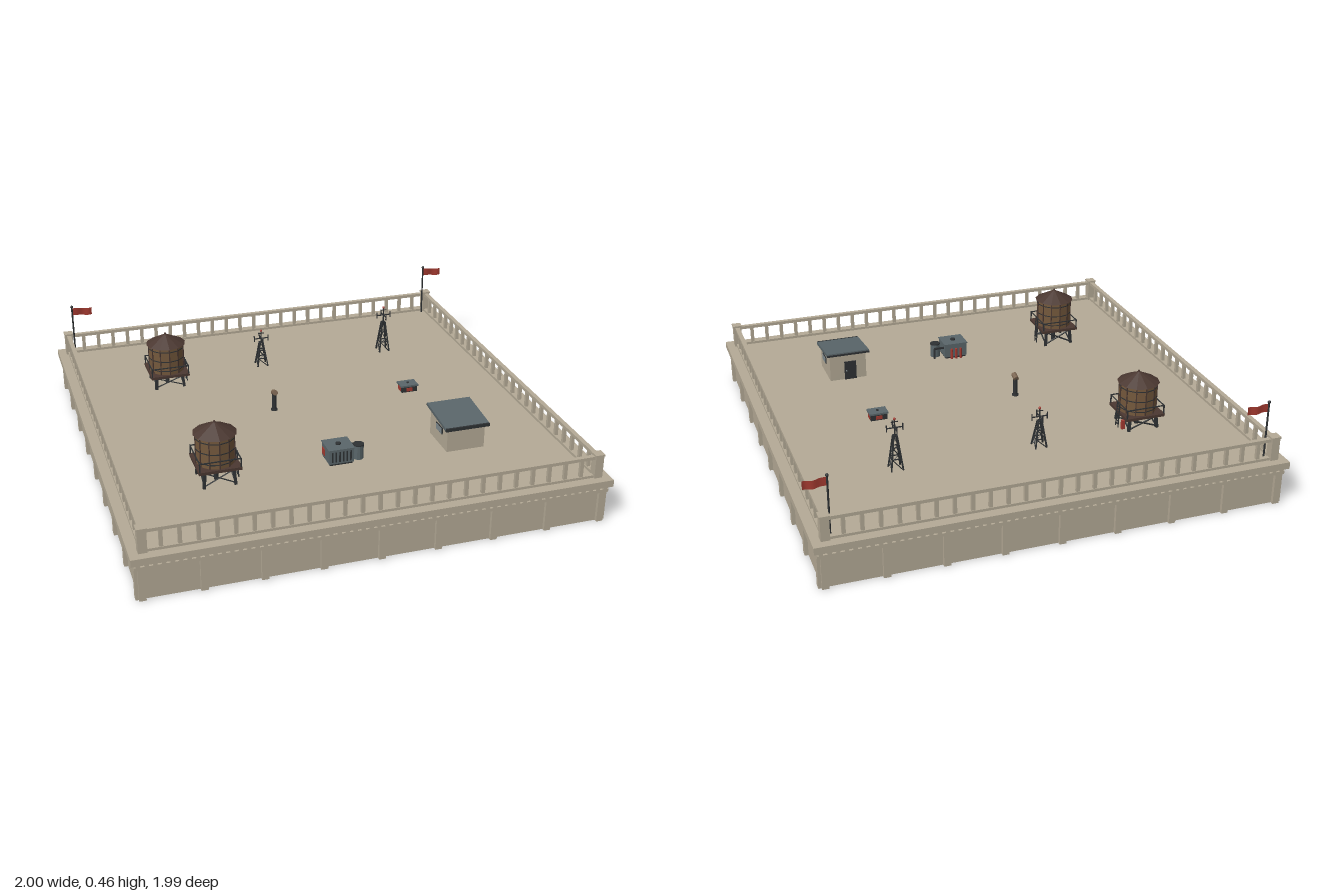
import * as THREE from 'three';

const mat = (name, color) => {
  const m = new THREE.MeshStandardMaterial({ color });
  m.name = name;
  return m;
};

export function createModel() {
  const stone = mat('stone', 0xb4aa96), roofBrown = mat('roof brown', 0x4b3831);
  const wood = mat('wood', 0x74583c), darkMetal = mat('dark metal', 0x2e3133);
  const slate = mat('slate', 0x5a666a), grey = mat('grey metal', 0x7f8a8e);
  const red = mat('red', 0xa33a30), rust = mat('rust', 0x7a6450);
  const flagRed = red.clone();
  flagRed.name = 'flag cloth';
  flagRed.side = THREE.DoubleSide;

  const root = new THREE.Group();
  const group = (name, x = 0, y = 0, z = 0, parent = root) => {
    const g = new THREE.Group();
    g.name = name;
    g.position.set(x, y, z);
    parent.add(g);
    return g;
  };
  const mesh = (parent, name, geo, m, x = 0, y = 0, z = 0) => {
    const o = new THREE.Mesh(geo, m);
    o.name = name;
    o.position.set(x, y, z);
    parent.add(o);
    return o;
  };
  const box = (p, name, m, w, h, d, x, y, z) => mesh(p, name, new THREE.BoxGeometry(w, h, d), m, x, y, z);
  const cyl = (p, name, m, r0, r1, h, x, y, z, n = 12) =>
    mesh(p, name, new THREE.CylinderGeometry(r0, r1, h, n).toNonIndexed(), m, x, y, z);
  // square bar between two points
  const beam = (p, name, m, a, b, t) => {
    const A = new THREE.Vector3(...a), B = new THREE.Vector3(...b);
    const o = box(p, name, m, t, t, A.distanceTo(B), 0, 0, 0);
    o.position.copy(A).add(B).multiplyScalar(0.5);
    o.quaternion.setFromUnitVectors(new THREE.Vector3(0, 0, 1), B.sub(A).normalize());
    return o;
  };
  const corners = [[-1, -1], [1, -1], [1, 1], [-1, 1]];
  const DECK = 0.195;

  // Building block, frieze and cornice
  const building = group('building', -0.006);
  box(building, 'walls', stone, 1.93, 0.17, 1.93, 0, 0.085, 0);
  box(building, 'frieze', stone, 1.96, 0.014, 1.96, 0, 0.143, 0);
  box(building, 'deckSlab', stone, 1.987, 0.03, 1.987, 0, 0.18, 0);

  // One facade with its balustrade, repeated on four sides
  for (let s = 0; s < 4; s++) {
    const side = group('facade', 0, 0, 0, building);
    side.rotation.y = s * Math.PI / 2;
    for (let i = 0; i < 9; i++)
      box(side, 'pilaster', stone, 0.028, 0.138, 0.03, -0.954 + i * 0.2385, 0.069, 0.965);
    for (let i = 0; i < 60; i++)
      box(side, 'dentil', stone, 0.016, 0.016, 0.02, -0.965 + i * 1.93 / 59, 0.158, 0.972);
    box(side, 'bottomRail', stone, 1.88, 0.012, 0.02, 0, 0.2, 0.94);
    box(side, 'topRail', stone, 1.88, 0.014, 0.02, 0, 0.285, 0.94);
    for (let i = 1; i < 26; i++)
      box(side, 'baluster', stone, 0.015, 0.08, 0.014, -0.94 + i * 1.88 / 26, 0.242, 0.94);
    box(side, 'cornerPost', stone, 0.036, 0.1, 0.036, 0.94, 0.245, 0.94);
    box(side, 'postCap', stone, 0.042, 0.008, 0.042, 0.94, 0.297, 0.94);
  }

  // Water towers
  const waterTower = (x, z, drop) => {
    const g = group('waterTower', x, DECK, z);
    const f = 0.075 - drop;
    for (const [i, [a, b]] of corners.entries()) {
      const [c, d] = corners[(i + 1) % 4];
      beam(g, 'leg', darkMetal, [a * 0.066, 0, b * 0.066], [a * 0.06, f, b * 0.06], 0.012);
      beam(g, 'brace', darkMetal, [a * 0.064, 0.008, b * 0.064], [c * 0.061, f - 0.008, d * 0.061], 0.005);
      beam(g, 'brace', darkMetal, [c * 0.064, 0.008, d * 0.064], [a * 0.061, f - 0.008, b * 0.061], 0.005);
      box(g, 'railPost', darkMetal, 0.005, 0.04, 0.005, a * 0.085, f + 0.032, b * 0.085);
      beam(g, 'handRail', darkMetal, [a * 0.085, f + 0.05, b * 0.085], [c * 0.085, f + 0.05, d * 0.085], 0.004);
    }
    box(g, 'platform', roofBrown, 0.178, 0.012, 0.178, 0, f + 0.006, 0);
    cyl(g, 'drainPipe', darkMetal, 0.01, 0.01, f, 0, f / 2, 0, 8);
    cyl(g, 'tank', wood, 0.081, 0.081, 0.13, 0, f + 0.077, 0);
    for (let i = 0; i < 12; i++) {
      const t = i * Math.PI / 6;
      box(g, 'stave', roofBrown, 0.005, 0.13, 0.005, Math.sin(t) * 0.081, f + 0.077, Math.cos(t) * 0.081).rotation.y = t;
    }
    for (const h of [0.03, 0.077, 0.124])
      cyl(g, 'hoop', darkMetal, 0.083, 0.083, 0.004, 0, f + h, 0);
    cyl(g, 'roof', roofBrown, 0.006, 0.091, 0.044, 0, f + 0.163, 0);
    cyl(g, 'finial', roofBrown, 0.004, 0.006, 0.01, 0, f + 0.187, 0, 8);
    // ladder on the side
    for (const k of [-1, 1])
      beam(g, 'ladderRail', darkMetal, [0.092, 0, k * 0.012], [0.088, f + 0.05, k * 0.012], 0.004);
    for (let i = 1; i < 8; i++)
      box(g, 'rung', darkMetal, 0.003, 0.003, 0.024, 0.091, i * 0.014, 0);
    return g;
  };
  waterTower(-0.555, 0.498, 0);
  const backTower = waterTower(-0.555, -0.465, 0.015);
  box(backTower, 'valveBox', red, 0.014, 0.04, 0.014, 0.078, 0.02, -0.03);

  // Lattice antenna masts
  const antenna = (x, z, h) => {
    const g = group('antenna', x, DECK, z);
    const t = h * 0.66, half = (y) => 0.025 - 0.018 * y / t;
    const at = ([a, b], y) => [a * half(y), y, b * half(y)];
    corners.forEach((c, i) => {
      const n = corners[(i + 1) % 4];
      beam(g, 'leg', darkMetal, at(c, 0), at(c, t), 0.006);
      for (let k = 0; k < 3; k++) {
        beam(g, 'strut', darkMetal, at(c, t * (k + 1) / 3), at(n, t * (k + 1) / 3), 0.004);
        beam(g, 'diagonal', darkMetal, at(c, t * k / 3), at(n, t * (k + 1) / 3), 0.003);
      }
    });
    cyl(g, 'mast', darkMetal, 0.003, 0.003, h - t, 0, (h + t) / 2, 0, 6);
    const y = h - 0.042;
    box(g, 'crossArm', darkMetal, 0.07, 0.004, 0.004, 0, y, 0);
    box(g, 'crossArm', darkMetal, 0.004, 0.004, 0.07, 0, y, 0);
    for (const k of [-1, 1]) {
      box(g, 'aerialTip', darkMetal, 0.004, 0.03, 0.004, k * 0.034, y, 0);
      box(g, 'aerialTip', darkMetal, 0.004, 0.03, 0.004, 0, y, k * 0.034);
    }
    box(g, 'upperArm', darkMetal, 0.03, 0.003, 0.003, 0, h - 0.016, 0);
    mesh(g, 'beacon', new THREE.SphereGeometry(0.006, 8, 6), red, 0, h - 0.003, 0);
  };
  antenna(-0.08, -0.523, 0.18);
  antenna(0.54, -0.513, 0.228);

  // Stair hut with a sloping roof; the door faces back
  const hut = group('stairHut', 0.515, DECK, 0.475);
  const profile = new THREE.Shape([[-0.093, 0], [0.093, 0], [0.093, 0.124], [-0.093, 0.104]].map((p) => new THREE.Vector2(...p)));
  const walls = new THREE.ExtrudeGeometry(profile, { depth: 0.17, bevelEnabled: false });
  mesh(hut, 'hutWalls', walls.translate(0, 0, -0.085).rotateY(Math.PI / 2), stone);
  box(hut, 'hutRoof', slate, 0.198, 0.014, 0.216, 0, 0.122, 0).rotation.x = 0.107;
  box(hut, 'gutter', darkMetal, 0.198, 0.014, 0.008, 0, 0.111, 0.107);
  box(hut, 'roofEdge', darkMetal, 0.198, 0.008, 0.006, 0, 0.131, -0.109);
  box(hut, 'door', darkMetal, 0.055, 0.088, 0.008, -0.01, 0.044, -0.094);
  box(hut, 'doorHandle', grey, 0.006, 0.006, 0.006, 0.01, 0.044, -0.1);
  for (const k of [-1, 1]) {
    box(hut, 'sideVentFrame', darkMetal, 0.006, 0.03, 0.066, k * 0.086, 0.073, 0.01);
    box(hut, 'sideVent', grey, 0.008, 0.024, 0.058, k * 0.087, 0.073, 0.01);
  }

  // Air conditioner with a round compressor beside it
  const cooler = group('airConditioner', -0.03, DECK, 0.492);
  box(cooler, 'coolerBody', slate, 0.108, 0.062, 0.098, 0, 0.039, 0);
  box(cooler, 'coolerBase', darkMetal, 0.1, 0.008, 0.09, 0, 0.004, 0);
  box(cooler, 'coolerLid', slate, 0.114, 0.005, 0.104, 0, 0.072, 0);
  cyl(cooler, 'fan', darkMetal, 0.012, 0.012, 0.006, 0, 0.077, 0);
  for (let i = 0; i < 6; i++)
    box(cooler, 'louvre', darkMetal, 0.006, 0.046, 0.004, -0.04 + i * 0.016, 0.04, 0.05);
  box(cooler, 'warningPanel', red, 0.004, 0.03, 0.03, -0.055, 0.035, -0.025);
  for (const k of [-1, 0, 1])
    cyl(cooler, 'redPipe', red, 0.006, 0.006, 0.05, k * 0.022, 0.025, -0.054, 8);
  cyl(cooler, 'compressor', slate, 0.023, 0.023, 0.062, 0.087, 0.031, 0.008);
  cyl(cooler, 'compressorCap', darkMetal, 0.024, 0.024, 0.005, 0.087, 0.064, 0.008);
  box(cooler, 'connectingPipe', darkMetal, 0.05, 0.008, 0.008, 0.077, 0.05, -0.026);
  cyl(cooler, 'downPipe', darkMetal, 0.005, 0.005, 0.05, 0.1, 0.025, -0.026, 8);

  // Low roof hatch
  const hatch = group('roofHatch', 0.492, DECK, -0.05);
  box(hatch, 'hatchBody', darkMetal, 0.074, 0.028, 0.052, 0, 0.014, 0);
  box(hatch, 'hatchLid', slate, 0.084, 0.008, 0.06, 0, 0.031, 0);
  cyl(hatch, 'hatchKnob', darkMetal, 0.006, 0.006, 0.005, 0, 0.037, 0, 8);
  for (const k of [-1, 1]) {
    box(hatch, 'hatchEnd', red, 0.004, 0.018, 0.03, k * 0.038, 0.013, 0);
    box(hatch, 'hatchSide', red, 0.03, 0.016, 0.004, 0, 0.013, k * 0.027);
  }

  // Vent pipe with a bent hood
  const vent = group('ventPipe', -0.156, DECK, -0.035);
  cyl(vent, 'ventFlange', darkMetal, 0.015, 0.016, 0.006, 0, 0.003, 0);
  cyl(vent, 'ventStack', darkMetal, 0.01, 0.011, 0.085, 0, 0.045, 0);
  cyl(vent, 'ventHood', rust, 0.012, 0.012, 0.034, 0, 0.089, 0.006).rotation.x = 1.25;

  // Flags at the back corners
  for (const x of [-0.922, 0.906]) {
    const g = group('flag', x, DECK, -0.913);
    cyl(g, 'flagPole', darkMetal, 0.004, 0.004, 0.25, 0, 0.125, 0, 8);
    mesh(g, 'poleBall', new THREE.SphereGeometry(0.007, 8, 6), darkMetal, 0, 0.25, 0);
    const cloth = new THREE.PlaneGeometry(0.094, 0.036, 10, 1).translate(0.047, 0, 0);
    const p = cloth.attributes.position;
    for (let i = 0; i < p.count; i++) {
      const u = p.getX(i) / 0.094;
      p.setZ(i, 0.006 * u * Math.sin(u * 9));
      p.setY(i, p.getY(i) - 0.004 * u + 0.002 * Math.sin(u * 7));
    }
    cloth.computeVertexNormals();
    mesh(g, 'flagCloth', cloth, flagRed, 0, 0.224, 0);
  }
  // flat facets on the turned parts
  root.traverse((o) => {
    if (o.isMesh && !o.geometry.index && o.geometry.type !== 'ExtrudeGeometry') o.geometry.computeVertexNormals();
  });
  return root;
}
